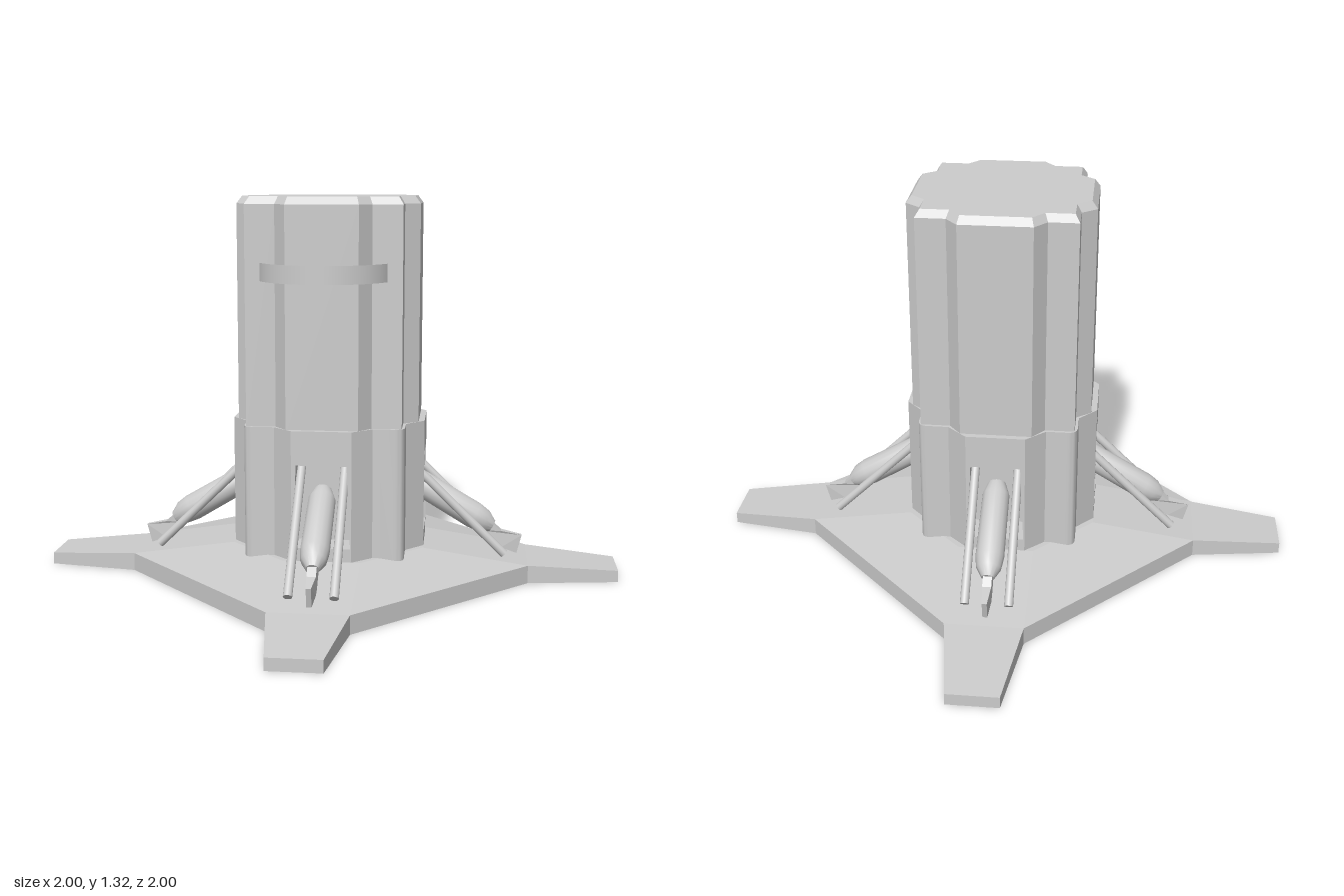
import * as THREE from 'three';
import { toCreasedNormals } from 'three/addons/utils/BufferGeometryUtils.js';

const mat = new THREE.MeshStandardMaterial({ color: 0xcccccc });
const thin = new THREE.MeshStandardMaterial({ color: 0xcccccc, side: THREE.DoubleSide });

function add(parent, name, geo, material = mat) {
  const m = new THREE.Mesh(geo, material);
  m.name = name;
  parent.add(m);
  return m;
}

// Repeat a front quarter of [x, y, z] points around the vertical axis
function ring(quarter) {
  const out = [];
  for (let k = 0, q = quarter; k < 4; k++) {
    out.push(...q);
    q = q.map(([x, y, z]) => [z, y, -x]);
  }
  return out;
}

// Flat-shaded skin over a stack of rings, closed at both ends
function loft(rings) {
  const pos = [], n = rings[0].length, last = rings[rings.length - 1];
  for (let i = 0; i < n; i++) {
    const j = (i + 1) % n;
    for (let r = 0; r < rings.length - 1; r++) {
      const a = rings[r], b = rings[r + 1];
      pos.push(...a[i], ...a[j], ...b[j], ...a[i], ...b[j], ...b[i]);
    }
    pos.push(0, last[0][1], 0, ...last[i], ...last[j]);
    pos.push(0, rings[0][0][1], 0, ...rings[0][j], ...rings[0][i]);
  }
  const g = new THREE.BufferGeometry();
  g.setAttribute('position', new THREE.Float32BufferAttribute(pos, 3));
  g.computeVertexNormals();
  return g;
}

const polygon = pts => new THREE.Shape(pts.map(([x, y]) => new THREE.Vector2(x, y)));

// Aim a y-axis mesh from one point toward another
function aim(mesh, from, to) {
  mesh.position.copy(from).add(to).multiplyScalar(0.5);
  mesh.quaternion.setFromUnitVectors(new THREE.Vector3(0, 1, 0), to.clone().sub(from).normalize());
}

export function createModel() {
  const model = new THREE.Group();
  model.name = 'tower';

  // Four-pointed base plate rising toward the tower
  const corner = s => [0.13 * s, 0.062, 0.69], tip = s => [0.085 * s, 0.04, 1];
  const inner = s => [0.13 * s, 0.115, 0.33];
  const rim = [corner(-1), tip(-1), tip(1), corner(1)];
  add(model, 'basePlate', loft([
    ring(rim.map(([x, , z]) => [x, 0, z])),
    ring(rim),
    ring([corner(-1), corner(-1), corner(1), corner(1)]),
    ring([inner(-1), inner(-1), inner(1), inner(1)]),
  ]));

  // Notched upper tower with a bevelled top
  const plan = (y, d) => ring([[-0.12, 0.31], [0.12, 0.31], [0.16, 0.26], [0.26, 0.26], [0.26, 0.16]]
    .map(([x, z]) => [x * (1 - d), y, z * (1 - d)]));
  add(model, 'upperTower', loft([plan(0.54, 0), plan(1.29, 0), plan(1.315, 0.06)]));

  // Lower tower: core, rounded corner posts, panels with openings
  const lowY = 0.1, highY = 0.555, height = highY - lowY;
  add(model, 'lowerCore', new THREE.BoxGeometry(0.44, height, 0.44)).position.y = lowY + height / 2;

  const post = new THREE.Shape();
  post.moveTo(0.1, 0.2);
  post.lineTo(0.2, 0.1);
  post.lineTo(0.33, 0.1);
  post.lineTo(0.165, 0.1).lineTo(0.33, 0.1);
  post.curves.splice(2);
  post.currentPoint.set(0.33, 0.1);
  post.lineTo(0.27, 0.165);
  post.lineTo(0.27, 0.235);
  post.quadraticCurveTo(0.27, 0.27, 0.235, 0.27);
  post.lineTo(0.165, 0.27);
  post.lineTo(0.1, 0.33);
  const postGeo = toCreasedNormals(
    new THREE.ExtrudeGeometry(post, { depth: height, bevelEnabled: false, curveSegments: 8 })
      .rotateX(-Math.PI / 2).translate(0, lowY, 0), 0.6);

  const panel = polygon([[-0.1, lowY], [0.1, lowY], [0.1, highY], [-0.1, highY]]);
  panel.holes.push(polygon([[-0.096, 0.16], [-0.084, 0.44], [0.084, 0.44], [0.096, 0.16]]));
  const panelGeo = new THREE.ExtrudeGeometry(panel, { depth: 0.13, bevelEnabled: false }).translate(0, 0, 0.2);

  // Brace parts shared by the four sides
  const v = (x, y, z) => new THREE.Vector3(x, y, z);
  const rodLength = Math.hypot(0.36, 0.35);
  const rodGeo = new THREE.CylinderGeometry(0.015, 0.015, rodLength, 12);
  const pistonGeo = toCreasedNormals(new THREE.LatheGeometry(
    [[0, -0.175], [0.03, -0.175], [0.046, -0.13], [0.048, 0.1], [0.042, 0.14], [0.022, 0.175], [0, 0.175]]
      .map(([r, y]) => new THREE.Vector2(r, y)), 16), 0.6);
  const footGeo = new THREE.ExtrudeGeometry(
    polygon([[0.52, 0.15], [0.575, 0.1], [0.6, 0.09], [0.655, 0.07], [0.672, 0.135], [0.6, 0.15], [0.55, 0.195]]),
    { depth: 0.03, bevelEnabled: false }).translate(0, 0, -0.015).rotateY(-Math.PI / 2);
  // Narrow the foot toward its outer end
  const fp = footGeo.attributes.position;
  for (let i = 0; i < fp.count; i++) if (fp.getZ(i) > 0.64) fp.setX(i, fp.getX(i) * 0.55);
  footGeo.computeVertexNormals();

  for (let k = 0; k < 4; k++) {
    const side = new THREE.Group();
    side.name = 'side' + (k + 1);
    side.rotation.y = k * Math.PI / 2;
    model.add(side);
    add(side, 'cornerPost', postGeo);
    add(side, 'openingPanel', panelGeo);
    for (const s of [-1, 1]) {
      aim(add(side, 'braceRod', rodGeo), v(0.073 * s, 0.435, 0.25), v(0.073 * s, 0.085, 0.61));
    }
    aim(add(side, 'piston', pistonGeo), v(0, 0.34, 0.27), v(0, 0.165, 0.565));
    add(side, 'pistonFoot', footGeo);
  }

  // Thin curved band on the front
  const half = Math.asin(0.21 / 0.2275);
  add(model, 'frontBand',
    new THREE.CylinderGeometry(0.2275, 0.2275, 0.06, 24, 1, true, -half, half * 2), thin)
    .position.set(0, 1.07, 0.1725);

  return model;
}
